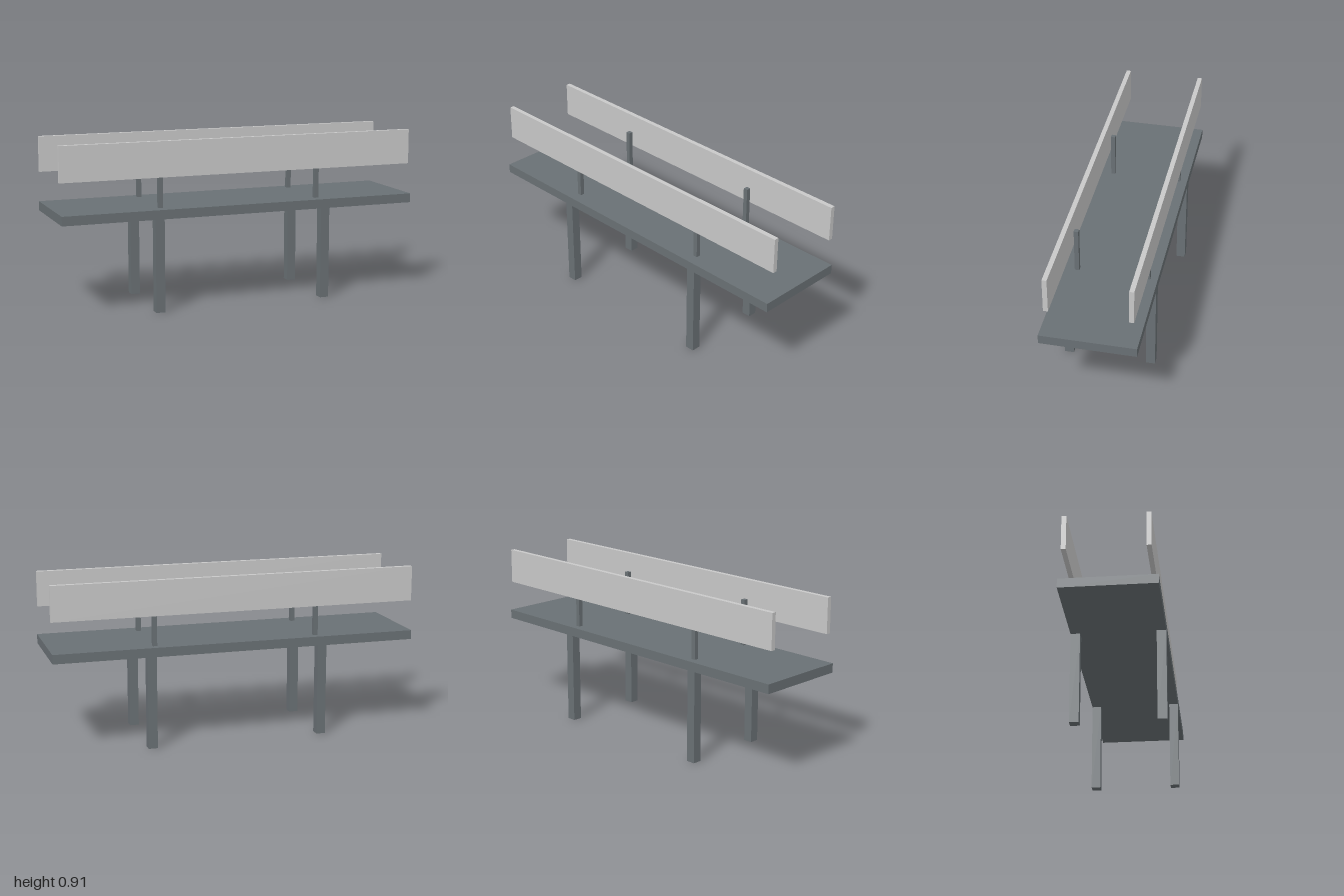
import * as THREE from 'three';

export function createModel() {
  const group = new THREE.Group();
  const darkGrey = new THREE.MeshStandardMaterial({ color: 0x697074 });
  darkGrey.name = 'dark grey';
  const lightGrey = new THREE.MeshStandardMaterial({ color: 0xc8c8c8 });
  lightGrey.name = 'light grey';

  // Box given by its minimum and maximum corners
  function box(name, material, [x0, y0, z0], [x1, y1, z1]) {
    const mesh = new THREE.Mesh(new THREE.BoxGeometry(x1 - x0, y1 - y0, z1 - z0), material);
    mesh.position.set((x0 + x1) / 2, (y0 + y1) / 2, (z0 + z1) / 2);
    mesh.name = name;
    group.add(mesh);
  }

  // Deck
  box('deck', darkGrey, [-1, 0.5, -0.25], [1, 0.55, 0.25]);

  // Legs under the deck
  for (const x of [-0.475, 0.475]) {
    for (const z of [-0.225, 0.225]) {
      box('leg', darkGrey, [x - 0.025, 0, z - 0.025], [x + 0.025, 0.5, z + 0.025]);
    }
  }

  // Rail posts: the front and back pairs are set slightly off centre
  for (const x of [-0.451, 0.449]) {
    box('frontPost', darkGrey, [x - 0.012, 0.55, 0.167], [x + 0.012, 0.8, 0.191]);
    box('backPost', darkGrey, [x - 0.012, 0.55, -0.21], [x + 0.012, 0.8, -0.186]);
  }

  // Long side boards on the outer faces of the posts
  box('frontBoard', lightGrey, [-1, 0.716, 0.191], [1, 0.907, 0.216]);
  box('backBoard', lightGrey, [-1, 0.716, -0.235], [1, 0.907, -0.21]);

  return group;
}
